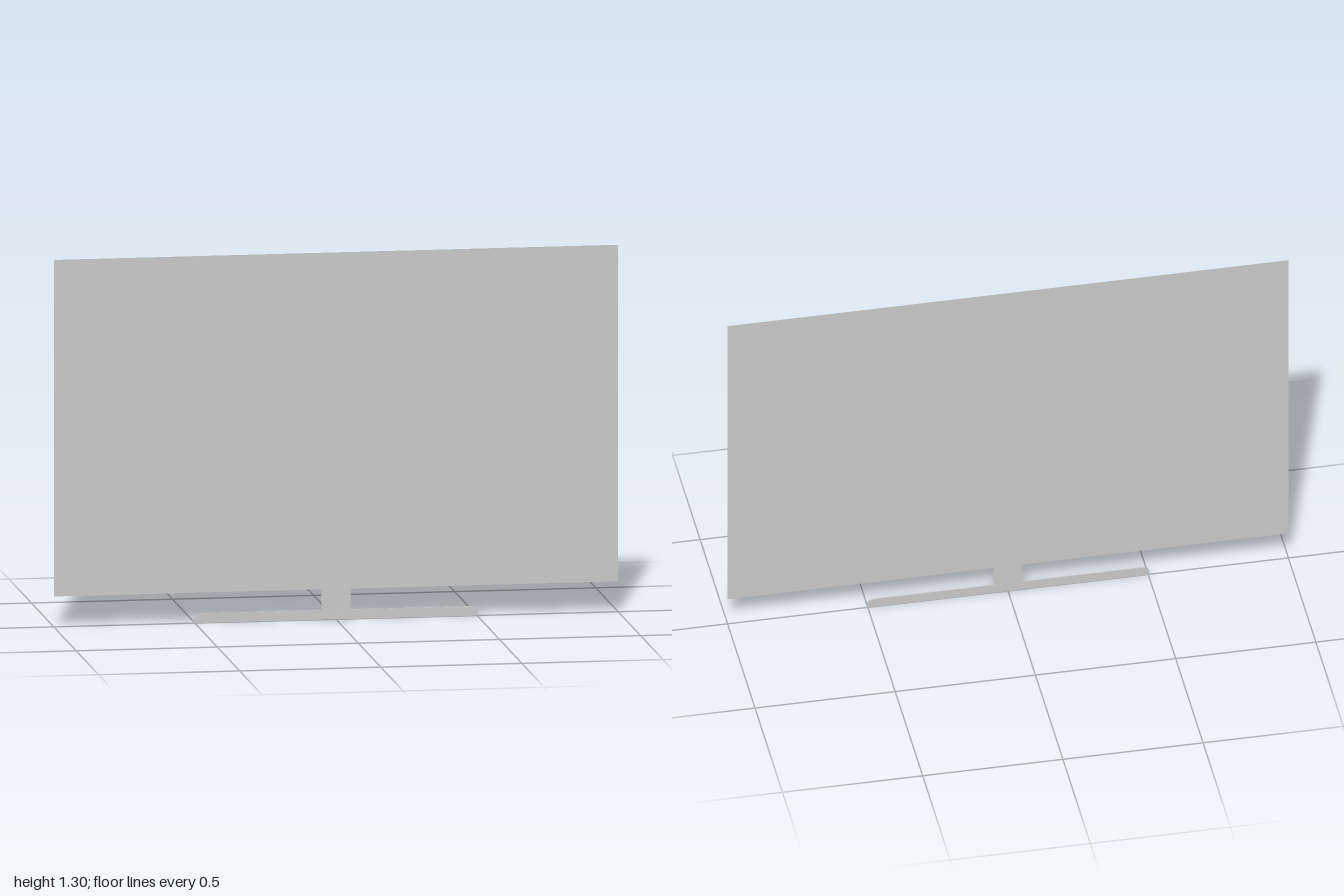
import * as THREE from 'three';

const material = new THREE.MeshStandardMaterial({ color: 0xcccccc });

// Thin plate cut from a shape, lying between two depths
function plate(name, shape, zBack, zFront) {
  const geometry = new THREE.ExtrudeGeometry(shape, {
    depth: zFront - zBack, bevelEnabled: false, curveSegments: 8,
  });
  geometry.translate(0, 0, zBack);
  const mesh = new THREE.Mesh(geometry, material);
  mesh.name = name;
  return mesh;
}

// Upright rectangle centred on x = 0 with rounded top corners
function roundedTop(halfWidth, bottom, top, radius) {
  const s = new THREE.Shape();
  s.moveTo(-halfWidth, bottom);
  s.lineTo(halfWidth, bottom);
  if (radius > 0) {
    s.lineTo(halfWidth, top - radius);
    s.absarc(halfWidth - radius, top - radius, radius, 0, Math.PI / 2);
    s.absarc(-halfWidth + radius, top - radius, radius, Math.PI / 2, Math.PI);
  } else {
    s.lineTo(halfWidth, top);
    s.lineTo(-halfWidth, top);
  }
  s.closePath();
  return s;
}

export function createModel() {
  const model = new THREE.Group();
  model.name = 'flatScreen';

  // Wafer-thin display panel
  model.add(plate('screen', roundedTop(1, 0.108, 1.303, 0), -0.0004, 0.0006));

  // Neck rises behind the panel
  model.add(plate('neck', roundedTop(0.052, 0.02, 0.21, 0.015), -0.0012, 0.0002));

  // Long foot with rounded upper corners
  model.add(plate('foot', roundedTop(0.505, 0, 0.034, 0.028), -0.002, 0.002));

  return model;
}
